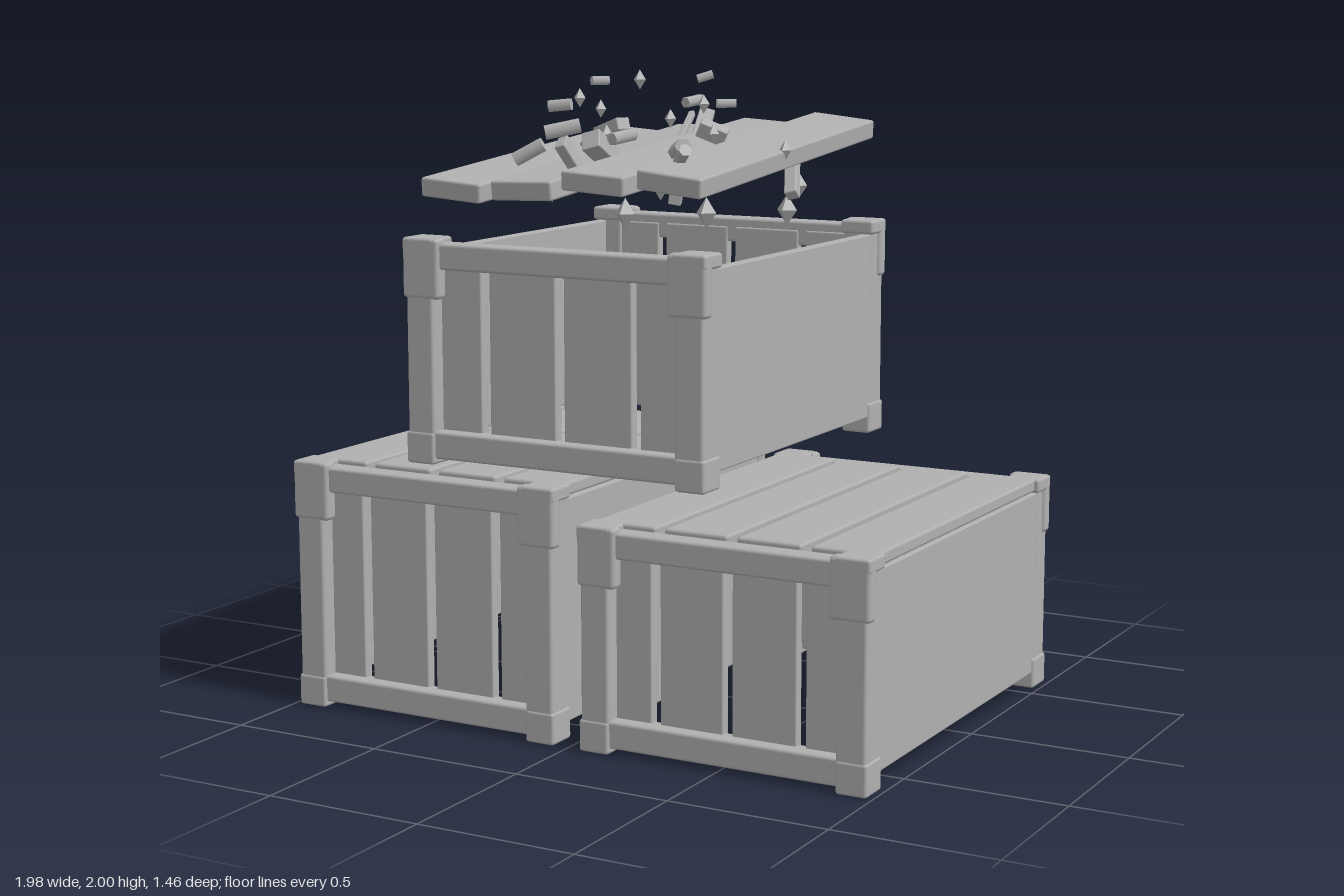
import * as THREE from 'three';
import { RoundedBoxGeometry } from 'three/addons/geometries/RoundedBoxGeometry.js';

const grey = new THREE.MeshStandardMaterial({ color: 0xb0b0b0 });
grey.name = 'plain grey wood';

// Chamfered box given by its size and centre
function block(parent, name, size, pos, rot = [0, 0, 0], bevel = 0.01) {
  const mesh = new THREE.Mesh(new RoundedBoxGeometry(...size, 1, bevel), grey);
  mesh.name = name;
  mesh.position.set(...pos);
  mesh.rotation.set(...rot);
  parent.add(mesh);
  return mesh;
}

// Bottomless crate: slatted ends in a frame, plain long sides, optional slatted lid
function crate(name, w, h, d, hasLid, braceLength, braceAngle) {
  const g = new THREE.Group();
  g.name = name;
  const pitch = w * 0.2495;
  const slatX = [-1.5, -0.5, 0.5, 1.5].map((k) => k * pitch);
  const slatW = pitch - 0.028;

  for (const s of [1, -1]) {
    const face = s * d / 2;
    // End frame rails
    block(g, 'topRail', [w - 0.18, 0.08, 0.075], [0, h - 0.055, face - s * 0.05]);
    block(g, 'bottomRail', [w - 0.18, 0.085, 0.075], [0, 0.06, face - s * 0.05]);
    // Upright end slats
    for (const x of slatX) {
      const width = Math.abs(x) > pitch ? slatW - 0.02 : slatW;
      const shift = Math.abs(x) > pitch ? -Math.sign(x) * 0.01 : 0;
      block(g, 'endSlat', [width, h - 0.09, 0.035], [x + shift, h / 2, face - s * 0.075], [0, 0, 0], 0.006);
    }
    // Corner posts with wrapped top brackets and feet
    for (const t of [1, -1]) {
      const side = t * w / 2;
      block(g, 'cornerPost', [0.095, h - 0.01, 0.095], [side - t * 0.058, h / 2, face - s * 0.053]);
      block(g, 'cornerBracket', [0.13, 0.185, 0.05], [side - t * 0.065, h - 0.0925, face - s * 0.025], [0, 0, 0], 0.014);
      block(g, 'cornerCap', [0.115, 0.045, 0.108], [side - t * 0.0575, h - 0.0225, face - s * 0.054]);
      block(g, 'cornerFoot', [0.1, 0.1, 0.105], [side - t * 0.055, 0.05, face - s * 0.0545]);
    }
  }
  // Long side panels
  for (const t of [1, -1]) {
    block(g, 'sidePanel', [0.035, h - 0.095, d - 0.15], [t * (w / 2 - 0.03), h / 2 + 0.0025, 0], [0, 0, 0], 0.006);
  }
  // Lid slats
  if (hasLid) {
    for (const x of slatX) {
      block(g, 'lidSlat', [slatW, 0.042, d - 0.165], [x, h - 0.021, 0]);
    }
  }
  // Diagonal brace across the back
  block(g, 'backBrace', [braceLength, 0.08, 0.08], [0, h / 2, -d / 2 - 0.03], [0, 0, braceAngle], 0.014);
  return g;
}

export function createModel() {
  const model = new THREE.Group();
  model.name = 'crateStack';

  // Three crates
  const left = crate('tallCrate', 0.95, 0.785, 1.385, true, 0.865, 0.575);
  left.position.set(-0.513, 0.003, 0.035);
  const right = crate('lowCrate', 0.95, 0.688, 1.385, true, 0.82, 0.455);
  right.position.set(0.515, 0.003, 0.035);
  const top = crate('openCrate', 1.04, 0.69, 1.23, false, 0.865, 0.465);
  top.position.set(-0.065, 0.812, 0.08);
  model.add(left, right, top);

  // Loose lid planks thrown up above the open crate: x, y, roll
  const lid = new THREE.Group();
  lid.name = 'burstLid';
  [[-0.44, 1.69, -0.06], [-0.19, 1.705, 0.04], [0.055, 1.73, -0.05], [0.31, 1.745, -0.09]].forEach(
    ([x, y, roll], i) => {
      block(lid, 'loosePlank', [0.218, 0.06, 1.07], [x, y, 0.075], [0.095 + 0.012 * (i % 2), -0.048, roll], 0.008);
    });
  model.add(lid);

  // Diamond sparks: x, y, z, half height
  const sparks = new THREE.Group();
  sparks.name = 'sparks';
  const diamond = new THREE.OctahedronGeometry(1, 0);
  [
    [-0.16, 1.54, 0.085, 0.05], [0.05, 1.54, -0.06, 0.05], [0.225, 1.54, -0.275, 0.05],
    [-0.31, 1.62, 0.275, 0.035], [-0.07, 1.62, 0.02, 0.04], [0.27, 1.62, -0.27, 0.04],
    [-0.29, 1.9, 0.14, 0.03], [-0.155, 1.875, 0.24, 0.028], [0, 1.968, 0.27, 0.03],
    [0.04, 1.88, -0.06, 0.03], [-0.09, 1.83, -0.08, 0.03], [0.16, 1.8, 0.1, 0.03],
    [0.415, 1.76, 0.12, 0.03], [-0.2, 1.79, 0.13, 0.03],
  ].forEach(([x, y, z, r]) => {
    const m = new THREE.Mesh(diamond, grey);
    m.name = 'spark';
    m.position.set(x, y, z);
    m.scale.set(r * 0.7, r, r * 0.7);
    sparks.add(m);
  });
  model.add(sparks);

  // Wood chips: x, y, z, length, thickness, yaw, pitch
  const chips = new THREE.Group();
  chips.name = 'woodChips';
  const chip = new THREE.CylinderGeometry(0.5, 0.5, 1, 6).rotateZ(Math.PI / 2);
  [
    [-0.16, 1.96, 0.235, 0.055, 0.03, 0.9, 0], [0.045, 1.965, -0.06, 0.05, 0.03, 0.6, 0.3],
    [0.13, 1.885, -0.04, 0.06, 0.03, 0.7, 0], [-0.03, 1.885, -0.12, 0.08, 0.035, 1.4, 0.1],
    [-0.22, 1.89, 0.37, 0.07, 0.04, 0.3, 0.1], [-0.02, 1.8, 0.34, 0.1, 0.04, 1.4, 0.1],
    [-0.28, 1.81, 0.26, 0.11, 0.05, 0.6, 0.2], [-0.37, 1.74, 0.31, 0.1, 0.05, 0.4, 0.5],
    [0.18, 1.77, 0.35, 0.13, 0.05, -0.9, 0.2], [0.25, 1.76, 0.46, 0.08, 0.04, -0.8, 0.5],
  ].forEach(([x, y, z, length, thick, yaw, pitch]) => {
    const m = new THREE.Mesh(chip, grey);
    m.name = 'woodChip';
    m.position.set(x, y, z);
    m.rotation.set(0, yaw, pitch, 'YZX');
    m.scale.set(length, thick, thick);
    chips.add(m);
  });
  // Squared splinters: size, position, rotation
  [
    [[0.13, 0.04, 0.06], [-0.35, 1.75, -0.07], [0, -0.5, 0.4]],
    [[0.13, 0.04, 0.05], [-0.24, 1.8, 0.03], [0, -0.4, 0.3]],
    [[0.09, 0.05, 0.05], [0.12, 1.8, 0.03], [0.3, 0.3, -0.5]],
    [[0.02, 0.02, 0.18], [-0.14, 1.79, -0.27], [0.5, 0.2, 0]],
    [[0.05, 0.12, 0.05], [-0.1, 1.79, -0.31], [-0.6, 0.5, 0]],
    [[0.06, 0.06, 0.14], [-0.09, 1.76, 0.35], [-0.5, 0, 0.3]],
    [[0.035, 0.14, 0.05], [-0.1, 1.74, 0.5], [0.6, 0.2, 0.2]],
    [[0.04, 0.16, 0.04], [0.3, 1.66, -0.16], [-0.7, 0, 0.3]],
    [[0.04, 0.16, 0.04], [0.05, 1.66, 0.12], [0.1, 0.4, -0.2]],
  ].forEach(([size, pos, rot]) => block(chips, 'splinter', size, pos, rot, 0.004));
  model.add(chips);

  return model;
}
